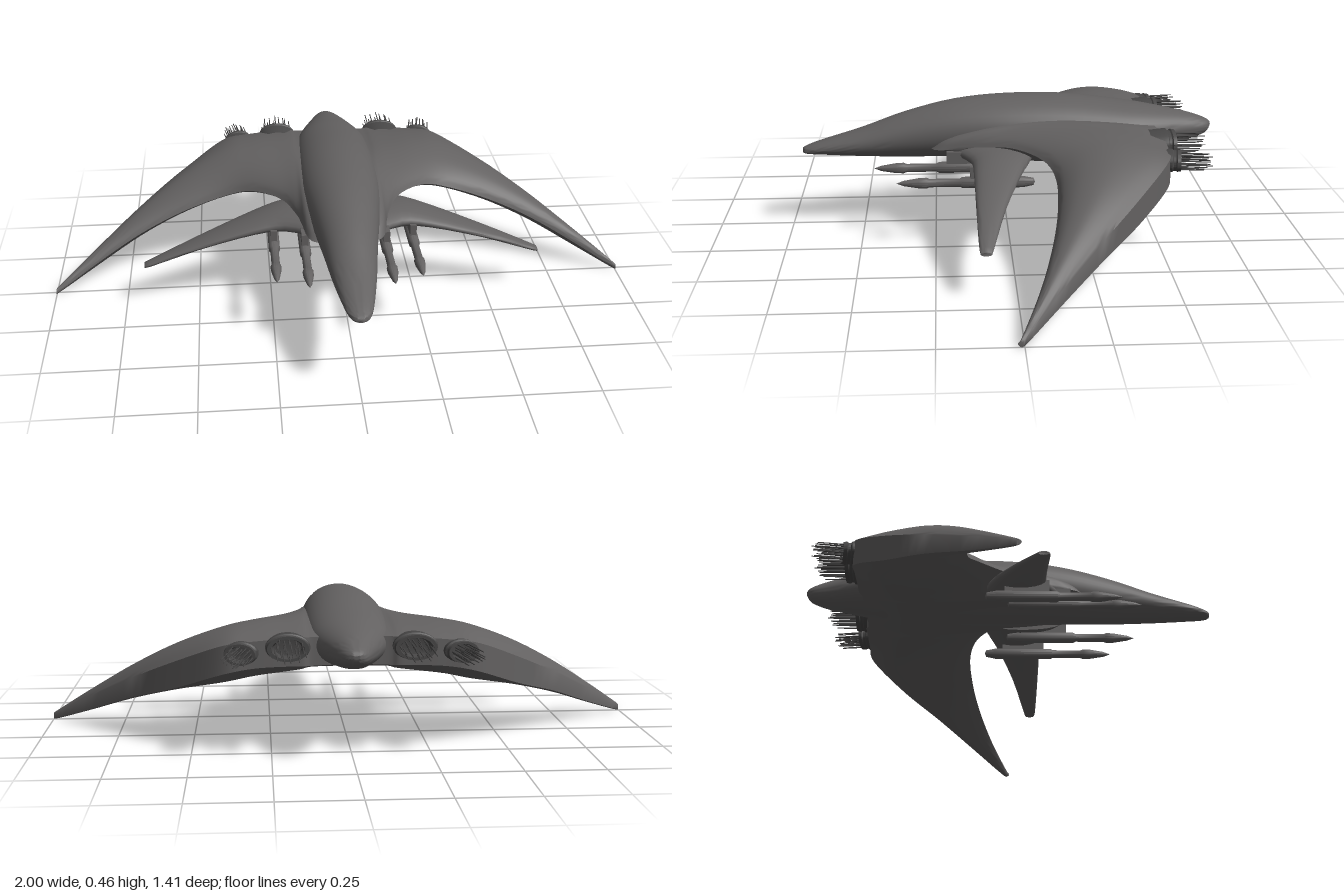
import * as THREE from 'three';
import { toCreasedNormals } from 'three/addons/utils/BufferGeometryUtils.js';

const V = (x, y, z) => new THREE.Vector3(x, y, z);

// Skin a series of closed rings and cap both ends, facing outwards.
function loft(rings, crease = 0.7) {
  const n = rings[0].length, pos = [], idx = [];
  rings.forEach(r => r.forEach(p => pos.push(p.x, p.y, p.z)));
  for (let i = 0; i < rings.length - 1; i++)
    for (let j = 0; j < n; j++) {
      const k = (j + 1) % n, a = i * n + j, b = i * n + k, c = a + n, d = b + n;
      idx.push(a, b, d, a, d, c);
    }
  const last = (rings.length - 1) * n;
  for (let j = 1; j < n - 1; j++) idx.push(0, j + 1, j, last, last + j, last + j + 1);
  const point = i => V().fromArray(pos, i * 3);
  let volume = 0;
  for (let i = 0; i < idx.length; i += 3)
    volume += point(idx[i]).dot(point(idx[i + 1]).cross(point(idx[i + 2])));
  if (volume < 0) idx.reverse();
  const g = new THREE.BufferGeometry();
  g.setAttribute('position', new THREE.Float32BufferAttribute(pos, 3));
  g.setIndex(idx);
  return toCreasedNormals(g, crease);
}

// Smoothly interpolate rows of section measurements.
function smoothRows(rows, steps) {
  const out = [], at = i => rows[Math.max(0, Math.min(rows.length - 1, i))];
  for (let i = 0; i < rows.length - 1; i++)
    for (let s = 0; s < steps; s++) {
      const t = s / steps;
      out.push(rows[i].map((p1, c) => {
        const p0 = at(i - 1)[c], p2 = at(i + 1)[c], p3 = at(i + 2)[c];
        return p1 + 0.5 * t * (p2 - p0 + t * (2 * p0 - 5 * p1 + 4 * p2 - p3 + t * (3 * (p1 - p2) + p3 - p0)));
      }));
    }
  out.push(rows[rows.length - 1]);
  return out;
}

function rng(seed) {
  return () => (seed = (seed * 16807) % 2147483647) / 2147483647;
}

export function createModel() {
  const model = new THREE.Group();
  const mat = (name, color) => Object.assign(new THREE.MeshStandardMaterial({ color }), { name });
  const hull = mat('hull grey', 0x636161);
  const dark = mat('engine grey', 0x484747);
  const add = (name, geo, material, parent = model) => {
    const m = new THREE.Mesh(geo, material);
    m.name = name;
    parent.add(m);
    return m;
  };

  // Fuselage: z, half width, top, bottom
  const body = smoothRows([
    [0.705, 0.014, 0.28, 0.264], [0.69, 0.03, 0.287, 0.26], [0.64, 0.046, 0.305, 0.258],
    [0.5, 0.07, 0.348, 0.252], [0.35, 0.09, 0.402, 0.248], [0.18, 0.115, 0.444, 0.25],
    [0, 0.137, 0.46, 0.25], [-0.2, 0.142, 0.457, 0.25], [-0.4, 0.132, 0.432, 0.262],
    [-0.5, 0.108, 0.415, 0.275], [-0.62, 0.064, 0.39, 0.292], [-0.69, 0.035, 0.367, 0.315],
    [-0.71, 0.008, 0.352, 0.34]], 4);
  add('fuselage', loft(body.map(([z, w, top, bottom]) => {
    const mid = bottom + (top - bottom) * 0.48;
    return Array.from({ length: 40 }, (_, i) => {
      const a = i / 40 * Math.PI * 2, c = Math.cos(a), s = Math.sin(a);
      const x = Math.sign(c) * Math.pow(Math.abs(c), s < 0 ? 0.85 : 1) * w;
      return V(x, mid + s * (s > 0 ? top - mid : mid - bottom), z);
    });
  }), 1), hull);

  // Swept wing: x, front z, front y, rear z, top, rear top, rear bottom, bottom
  const half = smoothRows([
    [0, 0.27, 0.3, -0.5, 0.4, 0.37, 0.285, 0.25], [0.115, 0.25, 0.3, -0.5, 0.4, 0.37, 0.28, 0.25],
    [0.15, 0.12, 0.315, -0.51, 0.4, 0.37, 0.28, 0.248], [0.2, 0, 0.33, -0.51, 0.397, 0.367, 0.28, 0.245],
    [0.3, -0.1, 0.32, -0.51, 0.392, 0.36, 0.275, 0.235], [0.4, -0.137, 0.287, -0.5, 0.375, 0.345, 0.255, 0.215],
    [0.55, -0.13, 0.235, -0.39, 0.314, 0.278, 0.192, 0.177], [0.7, -0.1, 0.17, -0.26, 0.23, 0.2, 0.135, 0.125],
    [0.85, -0.05, 0.09, -0.125, 0.13, 0.112, 0.066, 0.061], [0.985, 0.01, 0.016, -0.01, 0.034, 0.029, 0.009, 0.006],
    [1, 0.02, 0.012, 0.008, 0.02, 0.018, 0.008, 0.006]], 5);
  const span = [...half.slice(1).reverse().map(([x, ...r]) => [-x, ...r]), ...half];
  add('wing', loft(span.map(([x, zf, yf, zr, top, rt, rb, bottom]) => {
    const at = (t, y) => V(x, y, zf + (zr - zf) * t);
    const upper = new THREE.CatmullRomCurve3([
      at(0, yf), at(0.05, yf + (top - yf) * 0.32), at(0.22, yf + (top - yf) * 0.76),
      at(0.5, top), at(0.8, top * 0.65 + rt * 0.35), at(1, rt)]).getPoints(18);
    const lower = new THREE.CatmullRomCurve3([
      at(1, rb), at(0.8, bottom), at(0.5, bottom + (yf - bottom) * 0.15),
      at(0.2, bottom + (yf - bottom) * 0.5), at(0, yf)]).getPoints(14);
    return [...upper, ...lower.slice(0, -1)];
  }), 0.75), hull);

  for (const side of [1, -1]) {
    const label = side > 0 ? 'left' : 'right';

    // Canard: x, front z, rear z, y, half thickness
    const fin = smoothRows([
      [0.1, 0.2, -0.1, 0.292, 0.034], [0.2, 0.132, -0.07, 0.288, 0.034], [0.3, 0.122, -0.035, 0.272, 0.026],
      [0.48, 0.12, 0.025, 0.222, 0.016], [0.66, 0.116, 0.072, 0.158, 0.009], [0.68, 0.108, 0.078, 0.151, 0.005]], 3);
    add(label + 'Canard', loft(fin.map(([x, zf, zr, y, h]) =>
      Array.from({ length: 20 }, (_, i) => {
        const a = i / 20 * Math.PI * 2;
        return V(side * x, y + Math.sin(a) * h, (zf + zr) / 2 + Math.cos(a) * (zf - zr) / 2);
      })), 1), hull);

    // Cannons with sleeves and mounts
    for (const [x, y, tip] of [[0.137, 0.245, 0.455], [0.238, 0.225, 0.378]]) {
      const gun = new THREE.Group();
      gun.name = label + 'Cannon';
      gun.position.set(side * x, y, tip);
      model.add(gun);
      const profile = [[0, -0.46], [0.012, -0.455], [0.019, -0.42], [0.019, -0.22], [0.014, -0.21],
        [0.014, -0.11], [0.018, -0.1], [0.017, -0.075], [0.009, -0.025], [0, 0]];
      const barrel = new THREE.LatheGeometry(profile.map(p => new THREE.Vector2(...p)), 16);
      add('cannonBarrel', toCreasedNormals(barrel.rotateX(Math.PI / 2), 0.6), hull, gun);
      const mount = add('cannonMount', new THREE.BoxGeometry(0.022, 0.055, 0.15), hull, gun);
      mount.position.set(0, 0.028, -0.32);
    }

    // Engines: x, z, half width, half height, needle length, turn
    [[0.197, -0.505, 0.07, 0.043, 0.12, 0], [0.338, -0.502, 0.053, 0.036, 0.12, 0.16]].forEach(([x, z, w, h, len, turn], e) => {
      const engine = new THREE.Group();
      engine.name = label + (e ? 'OuterEngine' : 'InnerEngine');
      engine.position.set(side * x, e ? 0.325 : 0.342, z);
      engine.rotation.y = -side * turn;
      model.add(engine);
      const nozzle = new THREE.LatheGeometry([[0.9, 0.04], [1, -0.005], [1, -0.018], [0.88, -0.022], [0.88, -0.03],
        [0.96, -0.034], [0.92, -0.046], [0.72, -0.046], [0.6, -0.015], [0, -0.012]]
        .map(p => new THREE.Vector2(...p)).reverse(), 28);
      nozzle.rotateX(Math.PI / 2).scale(w, h, 1);
      const ring = add('nozzle', toCreasedNormals(nozzle, 0.6), dark, engine);
      ring.material.side = THREE.DoubleSide;
      // Exhaust needles
      const rand = rng(71 + e * 13);
      for (let i = 0; i < 26; i++) {
        const a = i * 2.4, r = 0.8 * Math.sqrt((i + 0.5) / 26);
        const l = len * (0.7 + 0.3 * rand());
        const needle = new THREE.CylinderGeometry(0.0016, 0.0026, l, 5).rotateX(-Math.PI / 2);
        needle.translate(Math.cos(a) * r * w, Math.sin(a) * r * h, -0.03 - l / 2);
        add('exhaustNeedle', needle, dark, engine);
      }
    });
  }
  return model;
}
